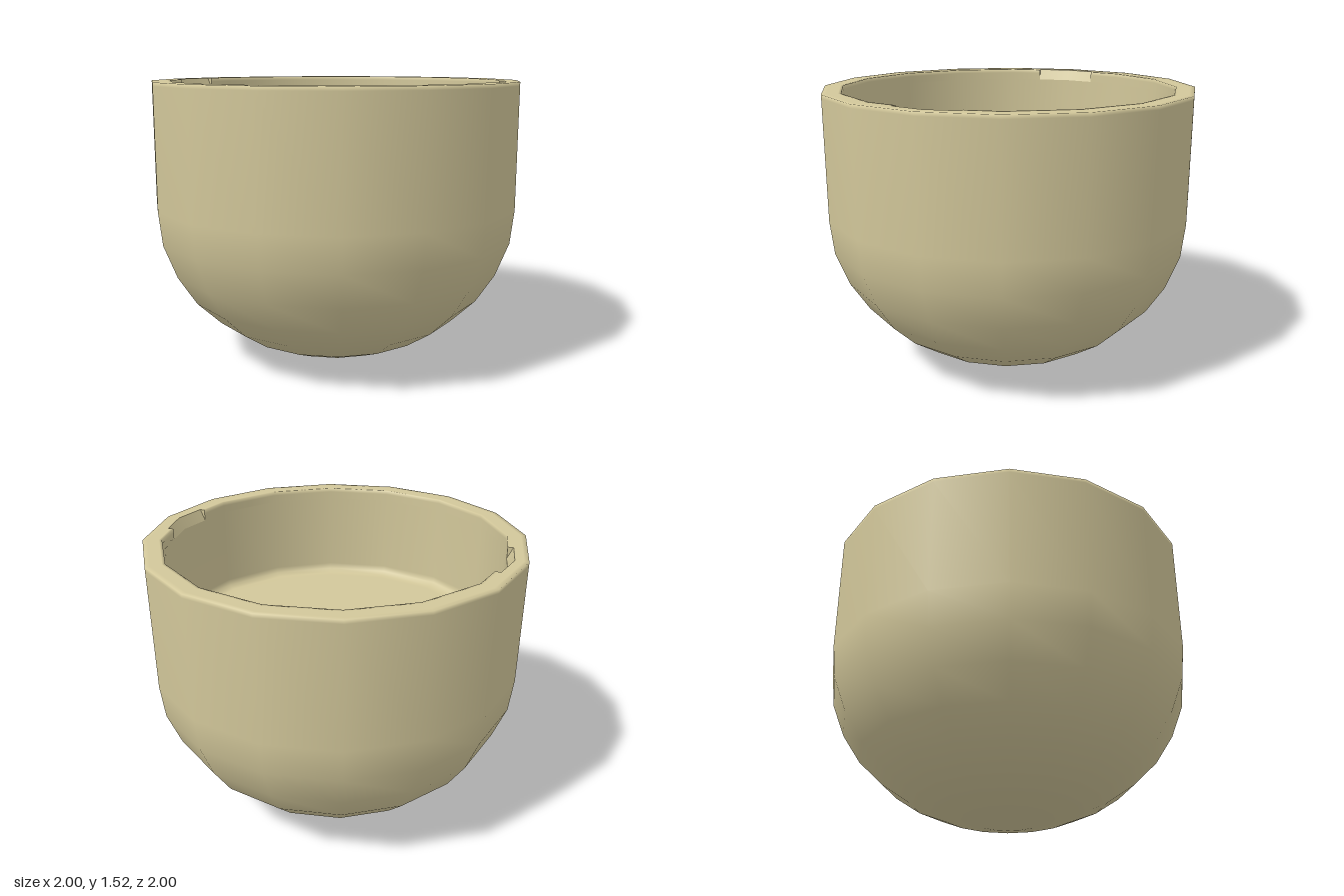
import * as THREE from 'three';

const SIDES = 16;
const STEP = Math.PI / SIDES; // half of one side
const TOP = 1.52;
const LIP = { outer: 0.93, inner: 0.9, low: 1.46 };

const toPoints = (list) => list.map(([r, y]) => new THREE.Vector2(r, y));

// Part of a lathe in half-side steps; odd columns lie on the middle of the 16-gon's sides
function halfSideLathe(profile, firstColumn, columns) {
  const geo = new THREE.LatheGeometry(toPoints(profile), columns, firstColumn * STEP, columns * STEP);
  const pos = geo.attributes.position;
  for (let i = 0; i < pos.count; i++) {
    const column = firstColumn + Math.floor(i / profile.length);
    if (column % 2) {
      const k = Math.cos(STEP);
      pos.setXYZ(i, pos.getX(i) * k, pos.getY(i), pos.getZ(i) * k);
    }
  }
  return geo;
}

export function createModel() {
  const group = new THREE.Group();
  group.name = 'roundBottomedCup';
  const material = new THREE.MeshStandardMaterial({ color: 0xd2c79a });
  const thin = new THREE.MeshStandardMaterial({ color: 0xd2c79a, side: THREE.DoubleSide });
  const add = (name, geo, mat = material) => {
    const mesh = new THREE.Mesh(geo, mat);
    mesh.name = name;
    group.add(mesh);
  };

  // Outer shell: rounded bottom, straight wall, flat rim
  add('outerShell', new THREE.LatheGeometry(toPoints([
    [0, 0], [0.18, 0.015], [0.36, 0.05], [0.53, 0.12], [0.68, 0.22], [0.81, 0.345],
    [0.91, 0.5], [0.98, 0.68], [1, 0.86], [1, 1.5], [1, TOP], [0.975, TOP], [LIP.outer, TOP],
  ]), SIDES));

  // Cavity: inner wall, small fillet and flat floor
  add('innerWallAndFloor', new THREE.LatheGeometry(toPoints([
    [LIP.inner, LIP.low], [0.9, 1.03], [0.895, 0.995], [0.86, 0.98], [0.82, 0.98], [0, 0.98],
  ]), SIDES));

  // Inner lip, interrupted by a notch on the left and on the right
  const lip = [[LIP.outer, TOP], [0.915, TOP], [LIP.inner, TOP], [LIP.inner, 1.5], [LIP.inner, LIP.low]];
  const slope = [[LIP.outer, TOP], [LIP.inner, LIP.low]];
  for (const middle of [SIDES / 2, SIDES * 1.5]) {
    add('innerLip', halfSideLathe(lip, middle + 1, SIDES - 2));
    add('lipNotch', halfSideLathe(slope, middle - 1, 2));

    // Triangular ends of the notch
    for (const side of [-1, 1]) {
      const angle = (middle + side) * STEP;
      const k = Math.cos(STEP);
      const corners = [[LIP.outer, TOP], [LIP.inner, TOP], [LIP.inner, LIP.low]].flatMap(
        ([r, y]) => [r * k * Math.sin(angle), y, r * k * Math.cos(angle)]);
      const geo = new THREE.BufferGeometry();
      geo.setAttribute('position', new THREE.Float32BufferAttribute(corners, 3));
      geo.computeVertexNormals();
      add('notchEnd', geo, thin);
    }
  }
  return group;
}
